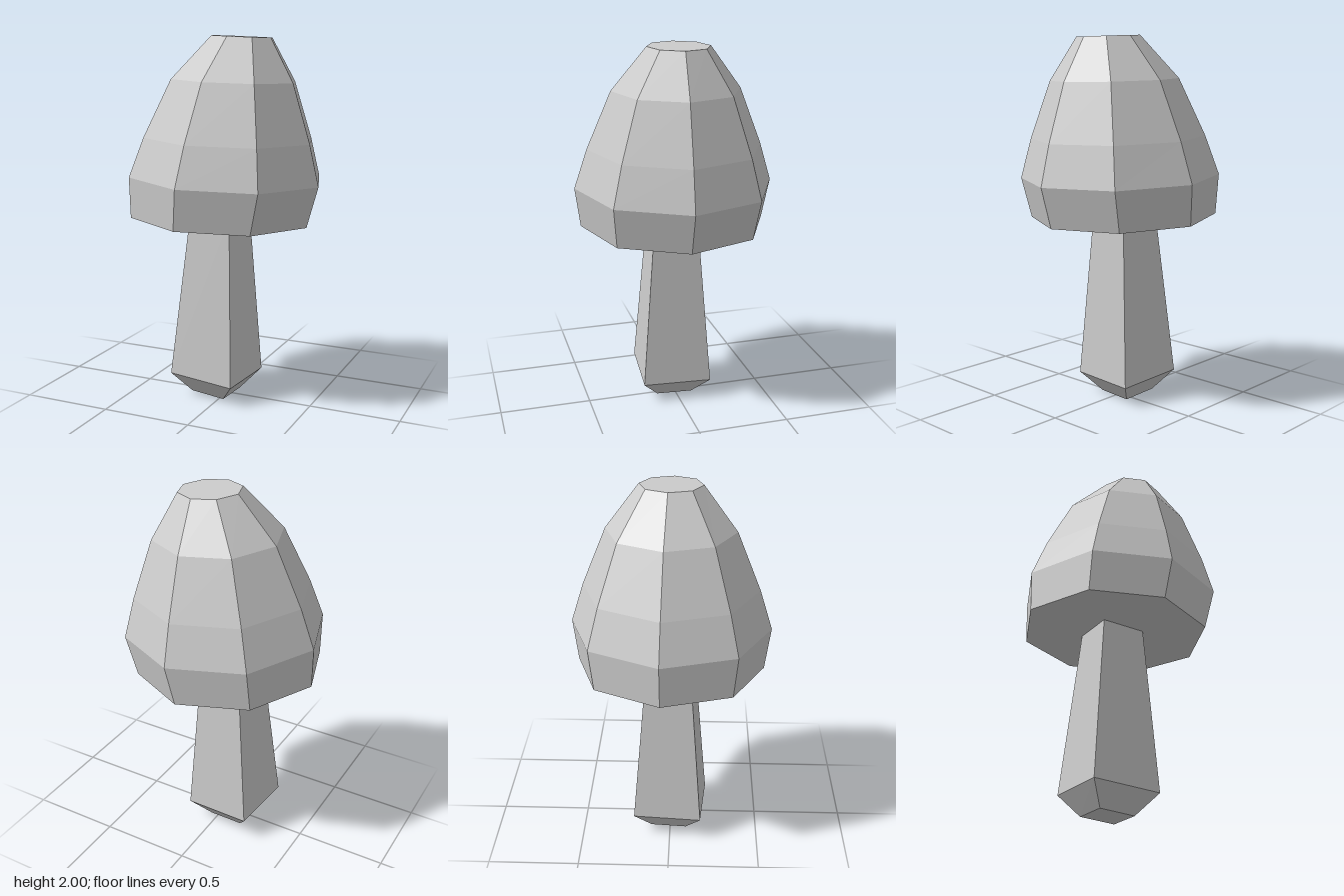
import * as THREE from 'three';

// Faceted loft through leaning rings, listed bottom to top: [centreX, centreY, radius, drop per unit x]
function loft(rings, sides, turn) {
  const point = ([cx, cy, r, drop], i) => {
    const a = turn + ((i % sides) / sides) * Math.PI * 2;
    const dx = r * Math.cos(a);
    return [cx + dx, cy - drop * dx, r * Math.sin(a)];
  };
  const positions = [];
  const tri = (...corners) => corners.forEach((p) => positions.push(...p));
  const first = rings[0];
  const last = rings[rings.length - 1];

  for (let i = 0; i < sides; i++) {
    for (let k = 0; k < rings.length - 1; k++) {
      const a = point(rings[k], i), b = point(rings[k], i + 1);
      const c = point(rings[k + 1], i), d = point(rings[k + 1], i + 1);
      tri(a, c, b);
      tri(c, d, b);
    }
    // End faces
    tri([first[0], first[1], 0], point(first, i), point(first, i + 1));
    tri([last[0], last[1], 0], point(last, i + 1), point(last, i));
  }

  const geometry = new THREE.BufferGeometry();
  geometry.setAttribute('position', new THREE.Float32BufferAttribute(positions, 3));
  geometry.computeVertexNormals();
  return geometry;
}

export function createModel() {
  const group = new THREE.Group();
  group.name = 'mushroom';
  const material = new THREE.MeshStandardMaterial({ color: 0xcccccc, flatShading: true });
  const add = (name, geometry) => {
    const mesh = new THREE.Mesh(geometry, material);
    mesh.name = name;
    group.add(mesh);
  };

  // Four-sided stem, tapered to a blunt foot
  add('stem', loft([
    [-0.067, 0.008, 0.141, 0.07],
    [-0.0625, 0.122, 0.268, 0.062],
    [-0.04, 1.04, 0.17, 0.04],
  ], 4, THREE.MathUtils.degToRad(49.5)));

  // Eight-sided cap, leaning to its left
  add('cap', loft([
    [-0.03, 1.025, 0.507, 0.04],
    [0, 1.245, 0.54, 0.038],
    [0.015, 1.458, 0.472, 0.033],
    [0.042, 1.765, 0.345, 0.033],
    [0.088, 1.992, 0.168, 0.045],
  ], 8, THREE.MathUtils.degToRad(4.5)));

  return group;
}
